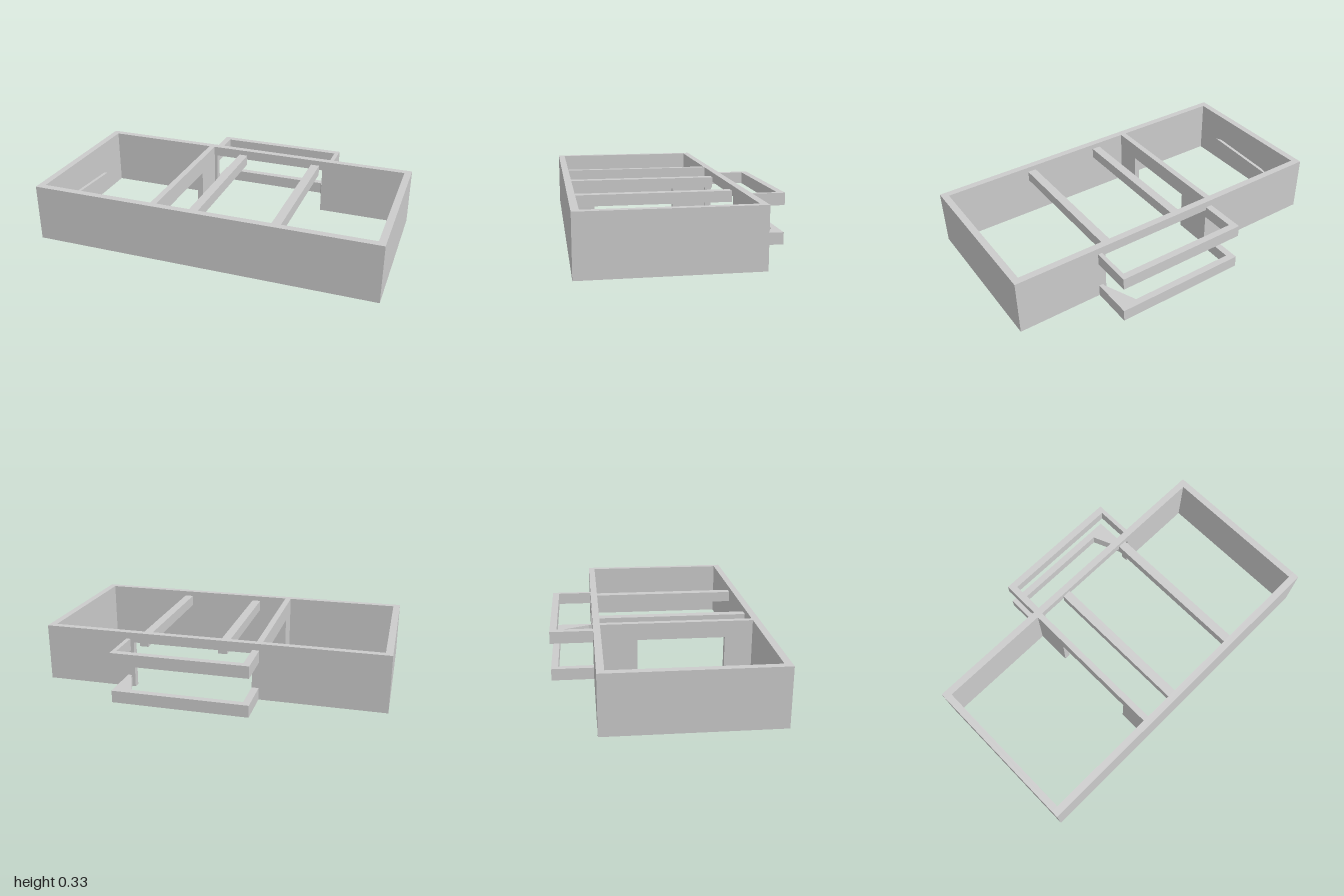
import * as THREE from 'three';

export function createModel() {
  const group = new THREE.Group();
  const material = new THREE.MeshStandardMaterial({ color: 0xcccccc, flatShading: true });
  const add = (name, geometry) => {
    const mesh = new THREE.Mesh(geometry, material);
    mesh.name = name;
    group.add(mesh);
    return mesh;
  };
  // Box given by its limits on each axis
  const block = (name, x0, x1, y0, y1, z0, z1) =>
    add(name, new THREE.BoxGeometry(x1 - x0, y1 - y0, z1 - z0)
      .translate((x0 + x1) / 2, (y0 + y1) / 2, (z0 + z1) / 2));
  const outline = (points) => new THREE.Shape(points.map(([a, b]) => new THREE.Vector2(a, b)));
  // Flat wall with openings; drawn in (u, y) and extruded along its thickness
  const wall = (name, points, depth, hole) => {
    const shape = outline(points);
    if (hole) shape.holes.push(outline(hole));
    return add(name, new THREE.ExtrudeGeometry(shape, { depth, bevelEnabled: false }));
  };

  const H = 0.333, T = 0.04, BACK = -0.355, FRONT = 0.6;

  // Outer walls
  block('frontWall', -1, 1, 0, H, FRONT - T, FRONT);
  block('leftWall', 1 - T, 1, 0, H, BACK + T, FRONT - T);
  block('rightWallOuter', -1, -1 + T / 2, 0, H, BACK + T, FRONT - T);

  // Inner face of the right wall, with a shallow triangular recess
  const inner = wall('rightWallInner',
    [[BACK + T, 0], [FRONT - T, 0], [FRONT - T, H], [BACK + T, H]], T / 2,
    [[-0.13, 0.12], [0.11, 0.225], [0.4, 0.145]]);
  inner.rotation.y = -Math.PI / 2;
  inner.position.x = -1 + T;

  // Back wall, open to the balcony
  const back = wall('backWall',
    [[-1, 0], [-0.24, 0], [-0.24, 0.275], [0.46, 0.275], [0.46, 0], [1, 0], [1, H], [-1, H]], T);
  back.position.z = BACK;

  // Inner partition with a doorway
  const partition = wall('partition',
    [[BACK + T, 0], [-0.105, 0], [-0.105, 0.235], [0.4, 0.235], [0.4, 0],
      [FRONT - T, 0], [FRONT - T, H], [BACK + T, H]], 0.035);
  partition.rotation.y = -Math.PI / 2;
  partition.position.x = -0.258;

  // Ceiling beams
  for (const x of [-0.06, 0.413]) {
    block('ceilingBeam', x - 0.026, x + 0.026, 0.24, 0.303, BACK + T, FRONT - T);
  }

  // Balcony base and rail
  for (const [name, y] of [['balconyBase', 0], ['balconyRail', 0.225]]) {
    block(name + 'Back', -0.28, 0.505, y, y + 0.07, -0.6, -0.56);
    block(name + 'RightArm', -0.28, -0.24, y, y + 0.07, -0.56, BACK);
    block(name + 'LeftArm', 0.48, 0.505, y, y + 0.07, -0.56, BACK);
  }

  // Tapered filler in the corner of the balcony base
  const filler = wall('balconyCorner', [[0.4, 0.56], [0.48, 0.37], [0.48, 0.56]], 0.07);
  filler.rotation.x = -Math.PI / 2;

  return group;
}
